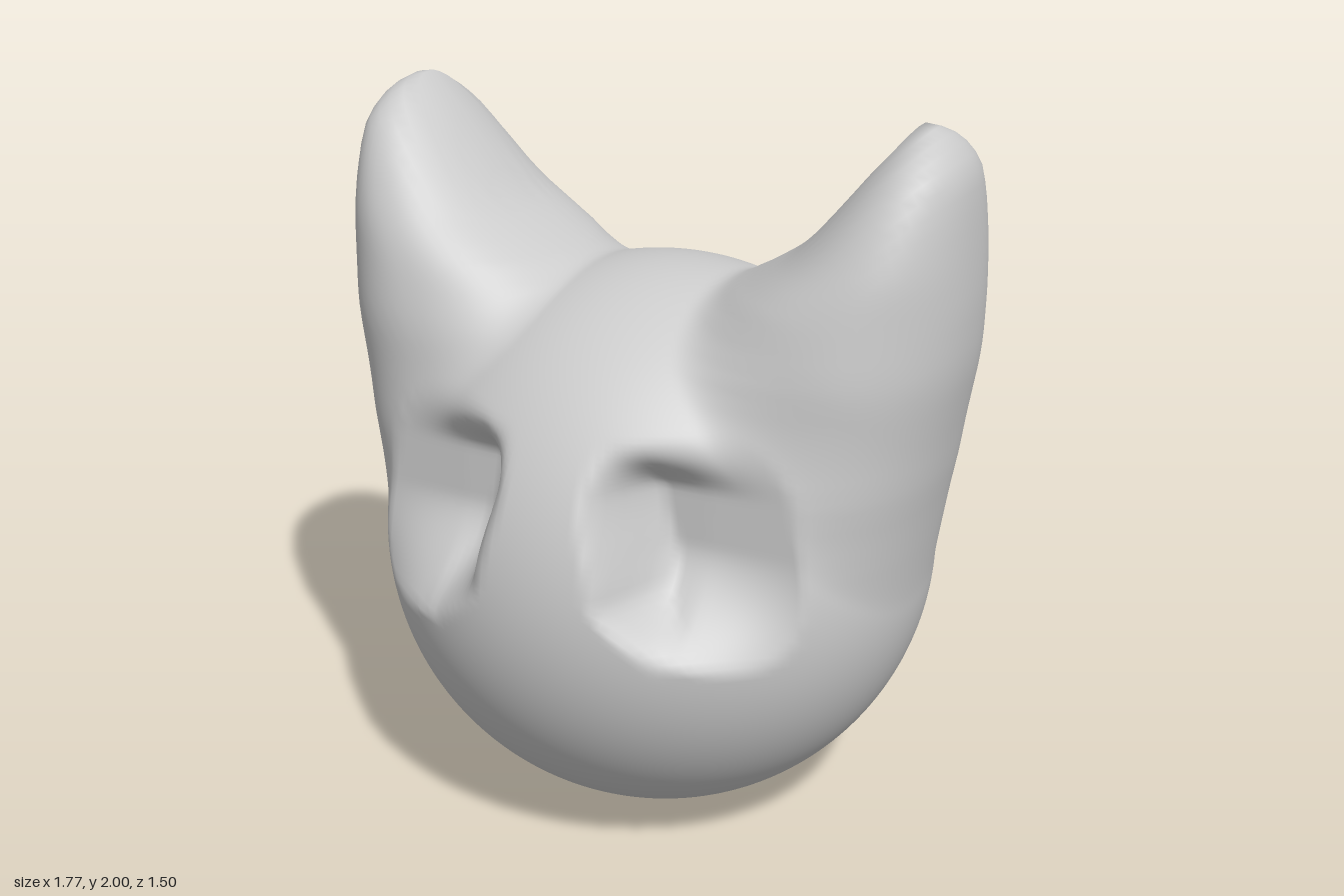
import * as THREE from 'three';
import { mergeVertices } from 'three/addons/utils/BufferGeometryUtils.js';

// Ear cross-sections going up: [height, inner x, outer x, half depth in z]
const EAR = [
  [0.45, 0.40, 0.62, 0.12],
  [0.68, 0.30, 0.71, 0.26],
  [0.90, 0.22, 0.775, 0.36],
  [1.10, 0.17, 0.83, 0.41],
  [1.40, 0.16, 0.88, 0.41],
  [1.56, 0.265, 0.885, 0.37],
  [1.67, 0.44, 0.88, 0.33],
  [1.80, 0.55, 0.87, 0.27],
  [1.88, 0.61, 0.86, 0.22],
  [1.95, 0.665, 0.84, 0.16],
  [2.00, 0.70, 0.75, 0.03],
];
const CENTRE = new THREE.Vector3(0, 0.8, 0);
const { smoothstep, lerp, clamp } = THREE.MathUtils;

// Linear look-up of one ear column
function lookUp(y, col) {
  let i = 0;
  while (i < EAR.length - 2 && y > EAR[i + 1][0]) i++;
  const a = EAR[i], b = EAR[i + 1];
  return lerp(a[col], b[col], clamp((y - a[0]) / (b[0] - a[0]), 0, 1));
}

// The same look-up, softened between sections
function earAt(y, col) {
  const s = Math.min(0.05, Math.max(0, 2 - y));
  return (lookUp(y - s, col) + 2 * lookUp(y, col) + lookUp(y + s, col)) / 4;
}

// Positive inside the skull and ears, which blend softly into each other
function field(p) {
  const skull = 1 - Math.hypot(p.x / 0.778, (p.y - 0.78) / 0.78, p.z / 0.75);
  if (p.y < 0.45 || p.y > 2) return skull;
  const inner = earAt(p.y, 1), outer = earAt(p.y, 2), depth = earAt(p.y, 3);
  const u = Math.abs((Math.abs(p.x) - (inner + outer) / 2) / ((outer - inner) / 2));
  const ear = 1 - Math.pow(Math.pow(u, 2.2) + Math.pow(Math.abs(p.z) / depth, 2.2), 1 / 2.2);
  const k = 0.24, h = Math.max(k - Math.abs(skull - ear), 0) / k;
  return Math.max(skull, ear) + h * h * k * 0.25;
}

// Walks inwards along a direction to the surface, then refines by halving
function surfacePoint(dir, out) {
  const at = (r) => field(out.copy(dir).multiplyScalar(r).add(CENTRE));
  let r = 1.6;
  while (r > 0.3 && at(r) < 0) r -= 0.015;
  let lo = r, hi = r + 0.015;
  for (let i = 0; i < 12; i++) {
    const mid = (lo + hi) / 2;
    if (at(mid) > 0) lo = mid; else hi = mid;
  }
  at(lo);
  return out;
}

// Presses the eye sockets in: steep by the nose and brow, sloping out to the cheek
function pressSocket(p) {
  if (p.z <= 0) return;
  const x = Math.abs(p.x);
  const edge = 0.11 + 0.05 * smoothstep(1.13 - p.y, 0, 0.27) + 0.14 * smoothstep(0.88 - p.y, 0, 0.2);
  const brow = 1.27 + 0.2 * Math.max(0, x - 0.2);
  const mask = smoothstep(x, edge, edge + 0.13) * (1 - smoothstep(p.y, 1.11, brow));
  const rise = smoothstep(0.97 - p.y, 0, 0.44);
  const floor = 0.445 + 0.35 * rise - (0.05 + 1.15 * rise) * Math.max(0, x - 0.36);
  if (p.z > floor) p.z = lerp(p.z, floor, mask * smoothstep(p.y, 0.5, 0.62));
}

export function createModel() {
  const group = new THREE.Group();
  group.name = 'catHead';

  // One continuous skin, shaped from a fine sphere
  let geometry = new THREE.SphereGeometry(1, 192, 128);
  geometry.deleteAttribute('uv');
  geometry.deleteAttribute('normal');
  geometry = mergeVertices(geometry, 1e-5);
  const pos = geometry.attributes.position;
  const dir = new THREE.Vector3(), p = new THREE.Vector3();
  for (let i = 0; i < pos.count; i++) {
    dir.fromBufferAttribute(pos, i).normalize();
    surfacePoint(dir, p);
    pressSocket(p);
    pos.setXYZ(i, p.x, p.y, p.z);
  }
  geometry.computeVertexNormals();

  const head = new THREE.Mesh(geometry, new THREE.MeshStandardMaterial({ color: 0xcccccc }));
  head.name = 'headWithEars';
  group.add(head);
  return group;
}
